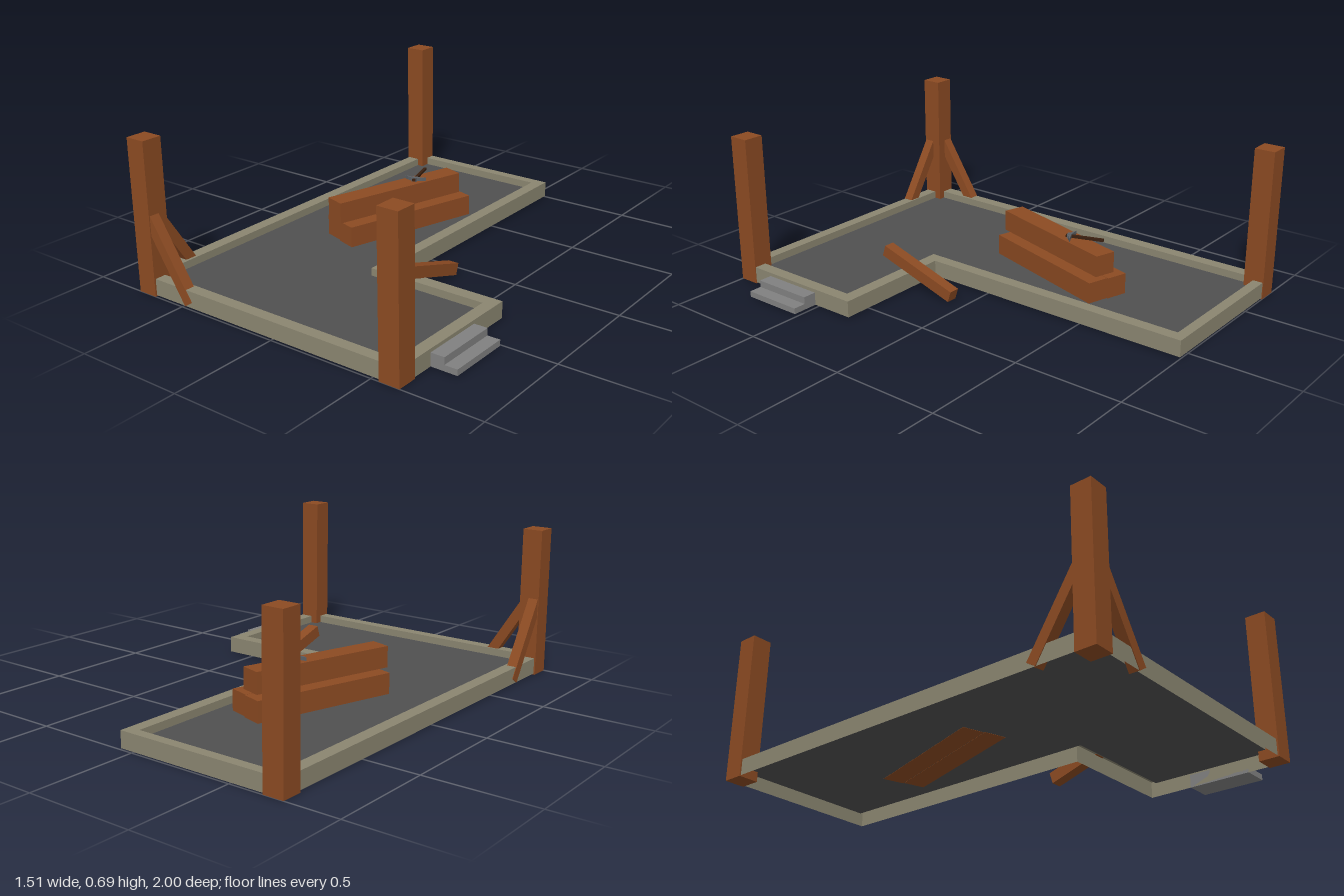
import * as THREE from 'three';

const mat = (color) => new THREE.MeshStandardMaterial({ color, side: THREE.DoubleSide, flatShading: true });

export function createModel() {
  const root = new THREE.Group();
  const wood = mat(0x8b4a22), stone = mat(0x8a8570), earth = mat(0x505050);
  const stepGrey = mat(0x808080), iron = mat(0x5a5f64), darkWood = mat(0x3a2010);

  const add = (name, geometry, material, parent = root) => {
    const mesh = new THREE.Mesh(geometry, material);
    mesh.name = name;
    parent.add(mesh);
    return mesh;
  };
  const box = (name, size, pos, material = wood, parent = root) => {
    const mesh = add(name, new THREE.BoxGeometry(...size), material, parent);
    mesh.position.set(...pos);
    return mesh;
  };

  // L-shaped outlines of the foundation, as x, z corners
  const outer = [[-0.748, -0.997], [0.06, -0.997], [0.06, 0.31], [0.63, 0.31], [0.63, 0.993], [-0.748, 0.993]];
  const inner = [[-0.69, -0.95], [0.003, -0.95], [0.003, 0.37], [0.573, 0.37], [0.573, 0.94], [-0.69, 0.94]];
  const top = 0.08, bottom = 0.005, floorY = 0.045;

  // Upright strip following a closed outline
  const strip = (loop, y0, y1) => {
    const v = [];
    loop.forEach(([ax, az], i) => {
      const [bx, bz] = loop[(i + 1) % loop.length];
      v.push(ax, y0, az, ax, y1, az, bx, y1, bz, ax, y0, az, bx, y1, bz, bx, y0, bz);
    });
    const g = new THREE.BufferGeometry();
    g.setAttribute('position', new THREE.Float32BufferAttribute(v, 3));
    g.computeVertexNormals();
    return g;
  };
  const points = (loop) => loop.map(([x, z]) => new THREE.Vector2(x, -z));
  const flat = (shape, y) => new THREE.ShapeGeometry(shape).rotateX(-Math.PI / 2).translate(0, y, 0);

  // Foundation: open-bottomed kerb around a sunken floor
  const rim = new THREE.Shape(points(outer));
  rim.holes.push(new THREE.Path(points(inner)));
  add('foundationOuterWall', strip(outer, bottom, top), stone);
  add('foundationInnerWall', strip([...inner].reverse(), floorY, top), stone);
  add('foundationRim', flat(rim, top), stone);
  add('floor', flat(new THREE.Shape(points(inner)), floorY), earth);

  // Corner posts
  for (const [x, z] of [[-0.707, 0.953], [0.585, 0.953], [-0.707, -0.953]]) {
    box('cornerPost', [0.095, 0.69, 0.095], [x, 0.345, z]);
  }

  // Two slanted braces on the front right-hand post
  const slant = Math.atan2(-0.335, 0.215);
  const braceLength = Math.hypot(0.235, 0.365);
  const frontBrace = box('frontBrace', [braceLength, 0.048, 0.048], [-0.5825, 0.2, 0.972]);
  frontBrace.rotation.z = slant;
  const sideBrace = box('sideBrace', [0.048, 0.048, braceLength], [-0.727, 0.2, 0.8275]);
  sideBrace.rotation.x = slant;

  // Plank leaning over the kerb
  const leaning = box('leaningPlank', [0.052, 0.054, 0.41], [0.217, 0.091, 0.264]);
  leaning.rotation.x = -0.305;

  // Pile of three beams
  for (const [x, y, z] of [[-0.303, 0.0925, -0.193], [-0.208, 0.0925, -0.158], [-0.265, 0.198, -0.153]]) {
    box('stackedBeam', [0.099, 0.097, 0.685], [x, y, z]).rotation.y = -0.296;
  }

  // Pickaxe lying on the pile
  const pick = new THREE.Group();
  pick.name = 'pickaxe';
  pick.position.set(-0.225, 0.256, -0.25);
  pick.rotation.y = 0.31;
  root.add(pick);
  box('pickHandle', [0.014, 0.012, 0.175], [0, 0, -0.07], darkWood, pick);
  const crescent = new THREE.Shape();
  crescent.moveTo(-0.052, 0.016);
  crescent.quadraticCurveTo(0, -0.028, 0.052, 0.016);
  crescent.quadraticCurveTo(0, 0.002, -0.052, 0.016);
  const head = new THREE.ExtrudeGeometry(crescent, { depth: 0.016, bevelEnabled: false, curveSegments: 6 });
  add('pickHead', head.rotateX(-Math.PI / 2).translate(0, -0.008, 0), iron, pick);
  box('pickCollar', [0.024, 0.02, 0.02], [0, 0, 0.001], iron, pick);

  // Two entrance steps
  const profile = new THREE.Shape([[0.63, 0.005], [0.752, 0.005], [0.752, 0.032], [0.693, 0.032],
    [0.693, 0.064], [0.63, 0.064]].map(([x, y]) => new THREE.Vector2(x, y)));
  const steps = new THREE.ExtrudeGeometry(profile, { depth: 0.29, bevelEnabled: false });
  add('entranceSteps', steps.translate(0, 0, 0.515), stepGrey);

  return root;
}
